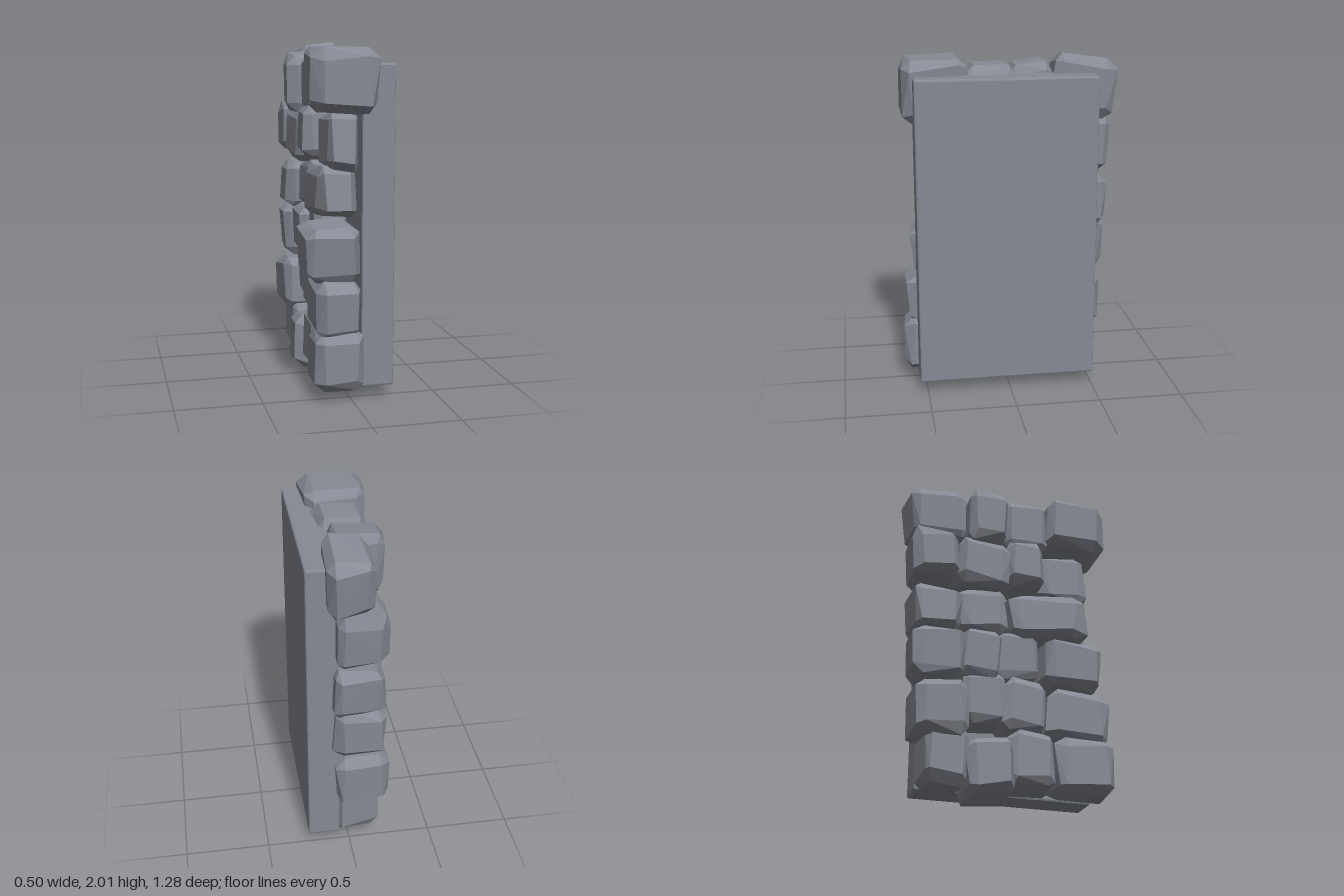
import * as THREE from 'three';
import { ConvexGeometry } from 'three/addons/geometries/ConvexGeometry.js';
import { RoundedBoxGeometry } from 'three/addons/geometries/RoundedBoxGeometry.js';

// Small seeded generator, returns -1..1
function seeded(seed) {
  let s = seed * 7919 + 17;
  return () => {
    s = (s * 16807) % 2147483647;
    return (s / 2147483647) * 2 - 1;
  };
}

// Rough-hewn stone: a box with six slightly tilted flat faces and wide uneven
// chamfers, narrowing towards its outer (-x) face
function stoneGeometry(width, height, depth, rnd) {
  const half = [width / 2, height / 2, depth / 2];
  const points = [];
  for (let axis = 0; axis < 3; axis++) for (const side of [-1, 1]) {
    const slope = [0.09 * rnd(), 0.09 * rnd()];
    for (const a of [-1, 1]) for (const b of [-1, 1]) {
      const u = a * (0.68 + 0.1 * rnd());
      const v = b * (0.68 + 0.1 * rnd());
      const p = [0, 0, 0];
      p[axis] = side * (0.97 + slope[0] * u + slope[1] * v);
      p[(axis + 1) % 3] = u;
      p[(axis + 2) % 3] = v;
      const taper = p[0] < 0 ? 0.93 : 1;
      points.push(new THREE.Vector3(p[0] * half[0], p[1] * half[1] * taper, p[2] * half[2] * taper));
    }
  }
  return new ConvexGeometry(points);
}

// Courses from top to bottom: joints are the z positions between stones, back and
// outer their x limits, lift moves each stone up or down, lean turns it about x
const courses = [
  { y: 1.8, height: 0.37, joints: [-0.62, -0.27, -0.04, 0.23, 0.6], back: [0.14, 0.08, 0.13, 0.15],
    outer: [-0.12, -0.24, -0.17, -0.23], lift: [0.01, -0.03, -0.03, 0.01], lean: [-0.08, 0.03, -0.03, 0.05] },
  { y: 1.48, height: 0.34, joints: [-0.61, -0.34, -0.02, 0.2, 0.49], back: [0.09, 0.08, 0.08, 0.06],
    outer: [-0.21, -0.2, -0.2, -0.12], lift: [0, -0.02, 0.02, -0.02], lean: [-0.1, 0.05, -0.05, -0.06] },
  { y: 1.14, height: 0.31, joints: [-0.59, -0.31, -0.02, 0.48], back: [0.11, 0.08, 0.06],
    outer: [-0.2, -0.13, -0.17], lift: [-0.02, 0.02, 0.02], lean: [0.02, -0.08, -0.08] },
  { y: 0.85, height: 0.34, joints: [-0.59, -0.3, -0.07, 0.18, 0.54], back: [0.1, 0.08, 0.08, 0.07],
    outer: [-0.21, -0.17, -0.12, -0.25], lift: [-0.01, 0.02, 0.05, -0.02], lean: [0, 0.08, -0.05, 0.02] },
  { y: 0.53, height: 0.35, joints: [-0.57, -0.27, -0.04, 0.21, 0.59], back: [0.09, 0.08, 0.08, 0.06],
    outer: [-0.23, -0.14, -0.16, -0.2], lift: [-0.04, 0.07, 0.04, -0.01], lean: [-0.06, -0.06, 0.05, 0] },
  { y: 0.22, height: 0.36, joints: [-0.5, -0.26, 0, 0.26, 0.61], back: [0.09, 0.13, 0.08, 0.07],
    outer: [-0.18, -0.21, -0.17, -0.21], lift: [0, -0.04, 0.03, 0.01], lean: [0.05, -0.05, 0.05, -0.06] },
];

export function createModel() {
  const model = new THREE.Group();
  model.name = 'stoneWallPanel';
  const material = new THREE.MeshStandardMaterial({ color: 0x878a94, flatShading: true });

  // Flat backing slab with a fine bevel
  const slab = new THREE.Mesh(new RoundedBoxGeometry(0.19, 1.83, 1.06, 1, 0.012), material);
  slab.name = 'slab';
  slab.position.set(0.155, 0.98, 0.015);
  model.add(slab);

  // Stone facing, slightly overlapping at the joints
  courses.forEach(({ y, height, joints, back, outer, lift, lean }, row) => {
    const course = new THREE.Group();
    course.name = `stoneCourse${row + 1}`;
    outer.forEach((x, i) => {
      const rnd = seeded(row * 4 + i + 1);
      for (let k = 0; k < 5; k++) rnd();
      const depth = joints[i + 1] - joints[i] + 0.04;
      const stone = new THREE.Mesh(stoneGeometry(back[i] - x, height, depth, rnd), material);
      stone.name = `stone${i + 1}`;
      stone.position.set((x + back[i]) / 2, y + lift[i], (joints[i] + joints[i + 1]) / 2);
      stone.rotation.x = lean[i];
      course.add(stone);
    });
    model.add(course);
  });

  return model;
}
